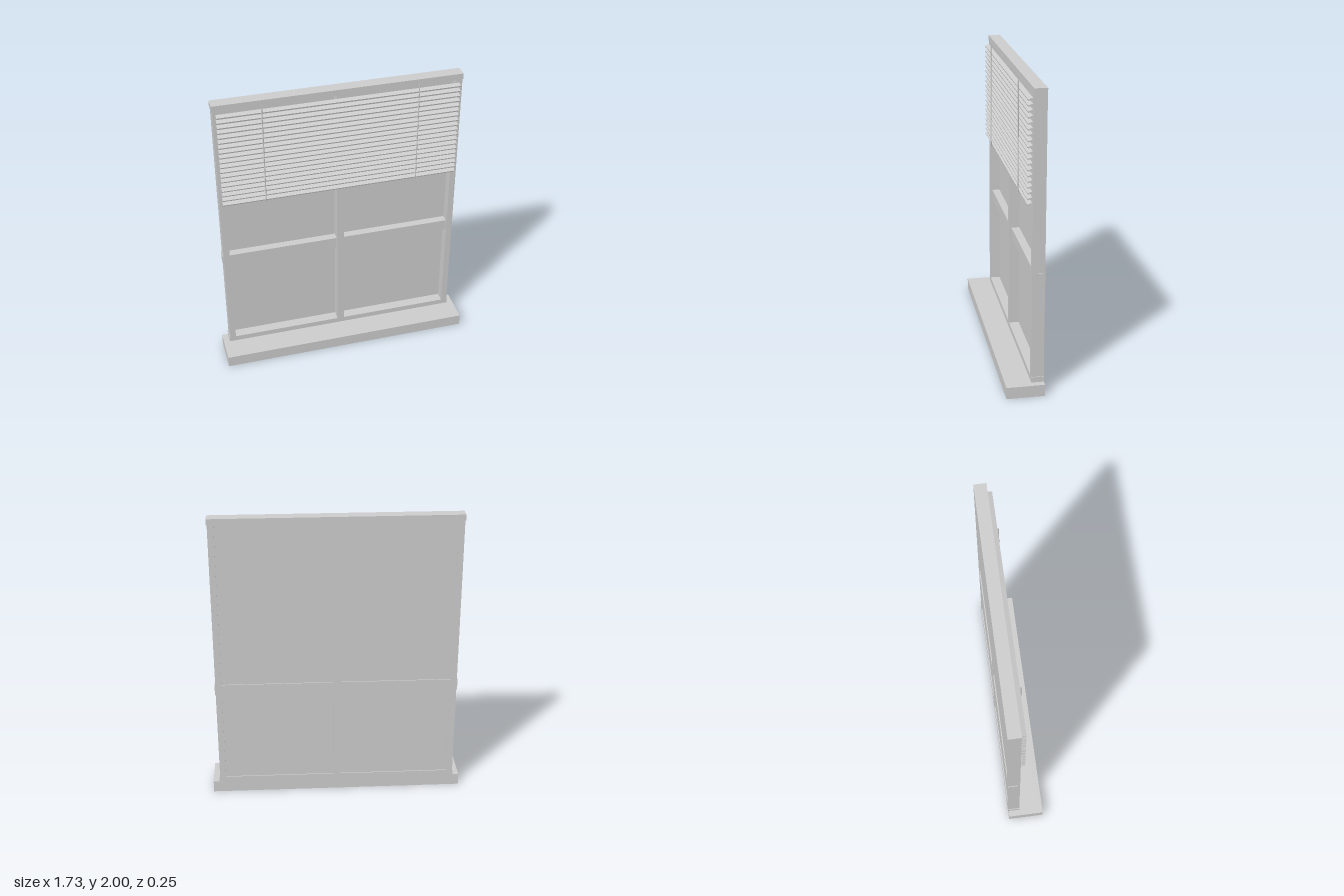
import * as THREE from 'three';

export function createModel() {
  const model = new THREE.Group();
  model.name = 'windowWithBlind';

  const grey = new THREE.MeshStandardMaterial({ color: 0xcccccc });
  grey.name = 'light grey';

  // Box given by its minimum and maximum on each axis
  function box(name, [x0, x1], [y0, y1], [z0, z1], parent = model) {
    const mesh = new THREE.Mesh(new THREE.BoxGeometry(x1 - x0, y1 - y0, z1 - z0), grey);
    mesh.position.set((x0 + x1) / 2, (y0 + y1) / 2, (z0 + z1) / 2);
    mesh.name = name;
    parent.add(mesh);
    return mesh;
  }

  const depth = [-0.125, -0.043];

  // Sill
  box('sill', [-0.865, 0.865], [0, 0.08], [-0.125, 0.125]);

  // Outer frame and crossbars
  const frame = new THREE.Group();
  frame.name = 'frame';
  model.add(frame);
  box('topRail', [-0.823, 0.823], [1.96, 2], depth, frame);
  box('bottomRail', [-0.823, 0.823], [0.08, 0.117], depth, frame);
  box('middleRail', [-0.823, 0.823], [0.76, 0.835], [-0.125, -0.058], frame);
  box('rightStile', [-0.818, -0.777], [0.117, 1.96], depth, frame);
  box('leftStile', [0.777, 0.818], [0.117, 1.96], depth, frame);
  box('mullion', [-0.024, 0.024], [0.117, 1.96], depth, frame);

  // Panes, set just inside the back of the frame
  for (const side of [-1, 1]) {
    for (const [name, y] of [['lowerPane', [0.117, 0.76]], ['upperPane', [0.835, 1.96]]]) {
      const x = side < 0 ? [-0.777, -0.024] : [0.024, 0.777];
      box(name, x, y, [-0.118, -0.112]);
    }
  }

  // Blind: tilted slats with the front edge lower
  const blind = new THREE.Group();
  blind.name = 'blind';
  model.add(blind);
  const count = 19;
  for (let i = 0; i < count; i++) {
    const y = 1.28 + (i * 0.65) / (count - 1);
    const slat = box('slat', [-0.798, 0.798], [y - 0.0045, y + 0.0045], [-0.044, -0.012], blind);
    slat.rotation.x = 0.28;
  }

  // Cords hanging in front of the slats
  for (const x of [-0.514, 0.514]) {
    const cord = new THREE.Mesh(new THREE.CylinderGeometry(0.004, 0.004, 0.72, 8), grey);
    cord.position.set(x, 1.62, -0.008);
    cord.name = 'cord';
    blind.add(cord);
  }

  return model;
}
